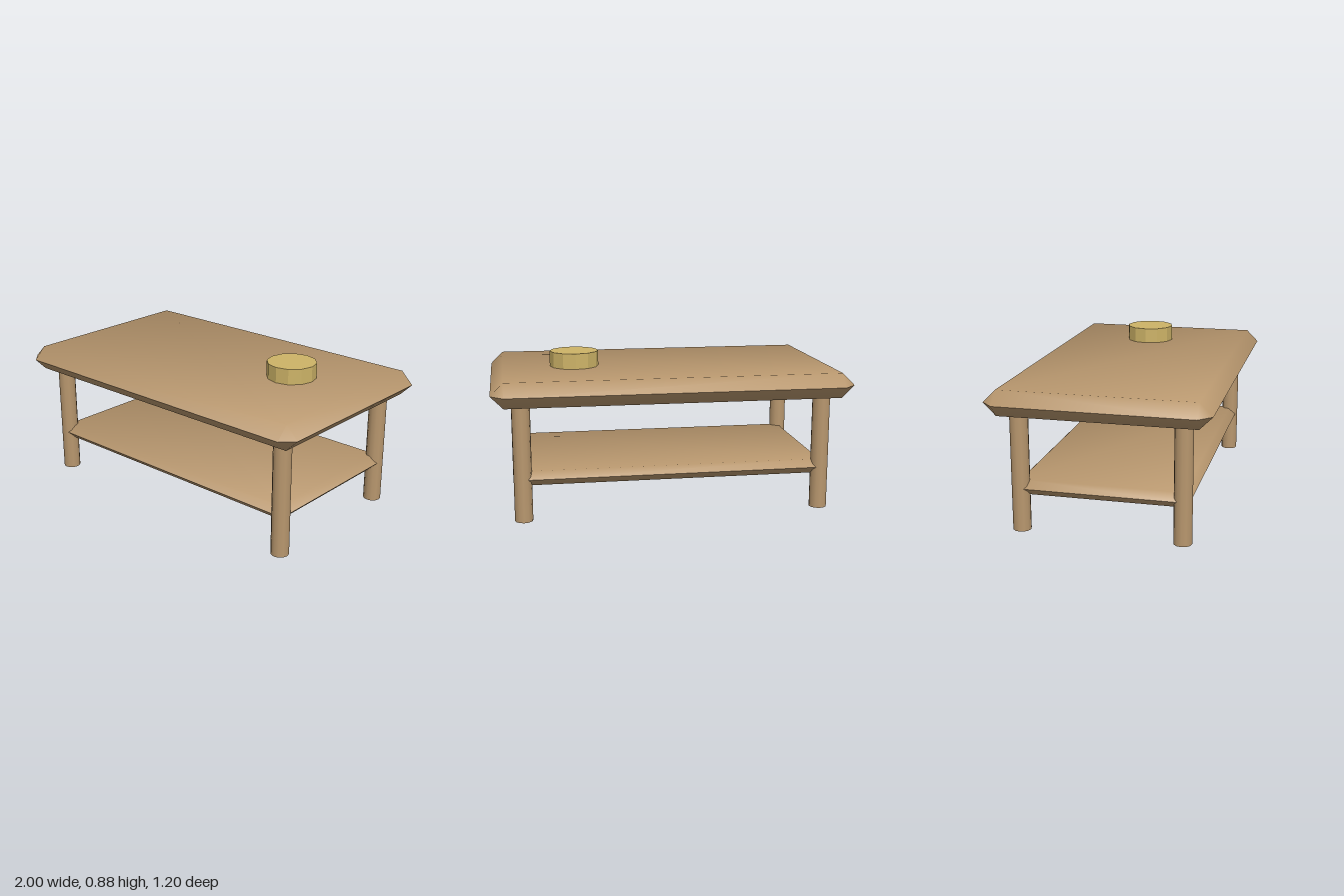
import * as THREE from 'three';
import { toCreasedNormals } from 'three/addons/utils/BufferGeometryUtils.js';
import { ConvexGeometry } from 'three/addons/geometries/ConvexGeometry.js';

// Slab whose rim comes to a 45 degree edge at mid height, with clipped corners.
function bevelledSlab(halfX, halfY, halfZ) {
  const x = halfX - halfY, z = halfZ - halfY;
  const points = [];
  for (const sx of [-1, 1]) {
    for (const sz of [-1, 1]) {
      points.push(
        new THREE.Vector3(sx * x, halfY, sz * z),
        new THREE.Vector3(sx * x, -halfY, sz * z),
        new THREE.Vector3(sx * halfX, 0, sz * z),
        new THREE.Vector3(sx * x, 0, sz * halfZ)
      );
    }
  }
  return toCreasedNormals(new ConvexGeometry(points), Math.PI / 3);
}

export function createModel() {
  const wood = new THREE.MeshStandardMaterial({ color: 0xb8976e });
  wood.name = 'wood';
  const brass = new THREE.MeshStandardMaterial({ color: 0xcdb367 });
  brass.name = 'brass';

  const table = new THREE.Group();
  table.name = 'coffeeTable';
  const add = (name, geometry, material, x, y, z) => {
    const mesh = new THREE.Mesh(geometry, material);
    mesh.name = name;
    mesh.position.set(x, y, z);
    table.add(mesh);
  };

  // Top and lower shelf
  add('tableTop', bevelledSlab(1, 0.07, 0.6), wood, 0, 0.72, 0);
  add('lowerShelf', bevelledSlab(0.88, 0.04, 0.48), wood, 0, 0.24, 0);

  // Four round legs
  const leg = new THREE.CylinderGeometry(0.05, 0.05, 0.66, 12);
  for (const [side, sx] of [['Left', 1], ['Right', -1]]) {
    for (const [end, sz] of [['front', 1], ['back', -1]]) {
      add(end + side + 'Leg', leg, wood, sx * 0.84, 0.33, sz * 0.44);
    }
  }

  // Faceted dish on the top
  const dish = toCreasedNormals(new THREE.CylinderGeometry(0.14, 0.14, 0.09, 12), 0.3);
  add('dish', dish, brass, 0.52, 0.833, -0.04);

  return table;
}
